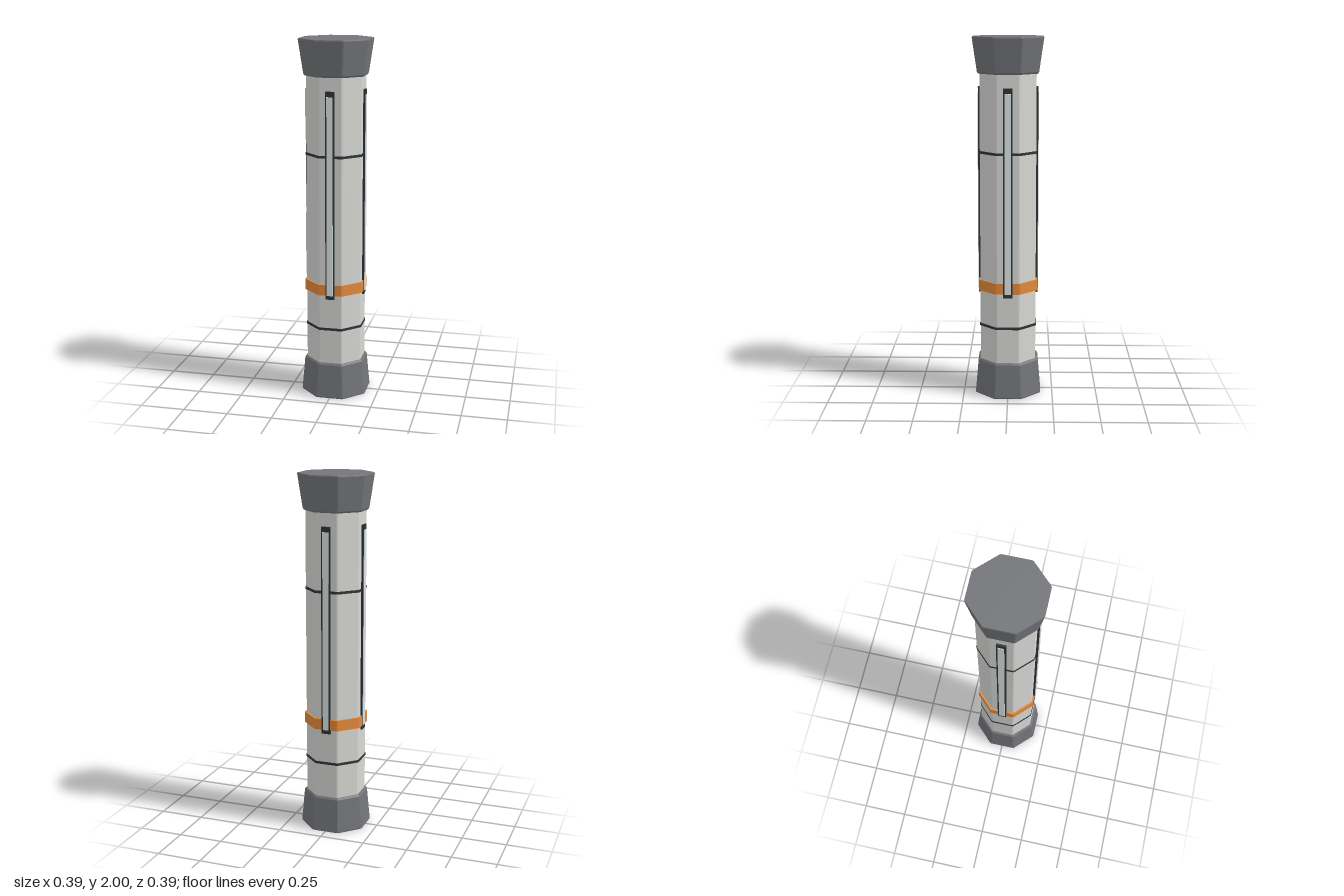
import * as THREE from 'three';

const paint = (name, color) => {
  const m = new THREE.MeshStandardMaterial({ color, flatShading: true });
  m.name = name;
  return m;
};

// Octagonal solid with flats on the axes and slightly clipped corners.
// profile: [apothem, y] pairs from bottom to top.
function octagon(profile, clip = THREE.MathUtils.degToRad(1.2)) {
  const pts = profile.map(([r, y]) => new THREE.Vector2(r, y));
  const geo = new THREE.LatheGeometry(pts, 16);
  const pos = geo.attributes.position;
  for (let v = 0; v < pos.count; v++) {
    const i = Math.floor(v / pts.length) % 16;
    const side = i % 2 ? 1 : -1;
    const angle = Math.PI / 8 + Math.floor(i / 2) * Math.PI / 4 + side * clip;
    const r = pts[v % pts.length].x / Math.cos(Math.PI / 8 - clip);
    pos.setX(v, r * Math.sin(angle));
    pos.setZ(v, r * Math.cos(angle));
  }
  geo.computeVertexNormals();
  return geo;
}

export function createModel() {
  const shell = paint('pale grey shell', 0xd8d8d5);
  const cap = paint('dark grey cap', 0x737579);
  const trim = paint('charcoal trim', 0x303537);
  const orange = paint('orange band', 0xe58a3a);
  const light = paint('light strip', 0xdce3e5);

  const model = new THREE.Group();
  model.name = 'octagonalColumn';
  const add = (name, geo, mat, parent = model) => {
    const mesh = new THREE.Mesh(geo, mat);
    mesh.name = name;
    parent.add(mesh);
    return mesh;
  };
  const band = (r, y0, y1) => octagon([[0, y0], [r, y0], [r, y1], [0, y1]]);

  // Shaft and flared end caps
  add('shaft', band(0.154, 0.1, 1.9), shell);
  add('bottomCap', octagon([[0, 0], [0.181, 0], [0.183, 0.006], [0.167, 0.192], [0.16, 0.202], [0, 0.202]]), cap);
  add('topCap', octagon([[0, 1.803], [0.161, 1.803], [0.167, 1.812], [0.193, 1.994], [0.191, 2], [0, 2]]), cap);

  // Seams and coloured band
  for (const y of [0.403, 1.378]) add('seam', band(0.157, y - 0.007, y + 0.007), trim);
  add('orangeBand', band(0.163, 0.602, 0.663), orange);

  // Framed strip on each of the four main faces
  for (let i = 0; i < 4; i++) {
    const panel = new THREE.Group();
    panel.name = 'stripPanel';
    panel.rotation.y = i * Math.PI / 2;
    add('stripFrame', new THREE.BoxGeometry(0.05, 1.15, 0.024), trim, panel).position.set(0, 1.155, 0.1525);
    add('strip', new THREE.BoxGeometry(0.034, 1.1, 0.02), light, panel).position.set(0, 1.152, 0.1575);
    model.add(panel);
  }
  return model;
}
